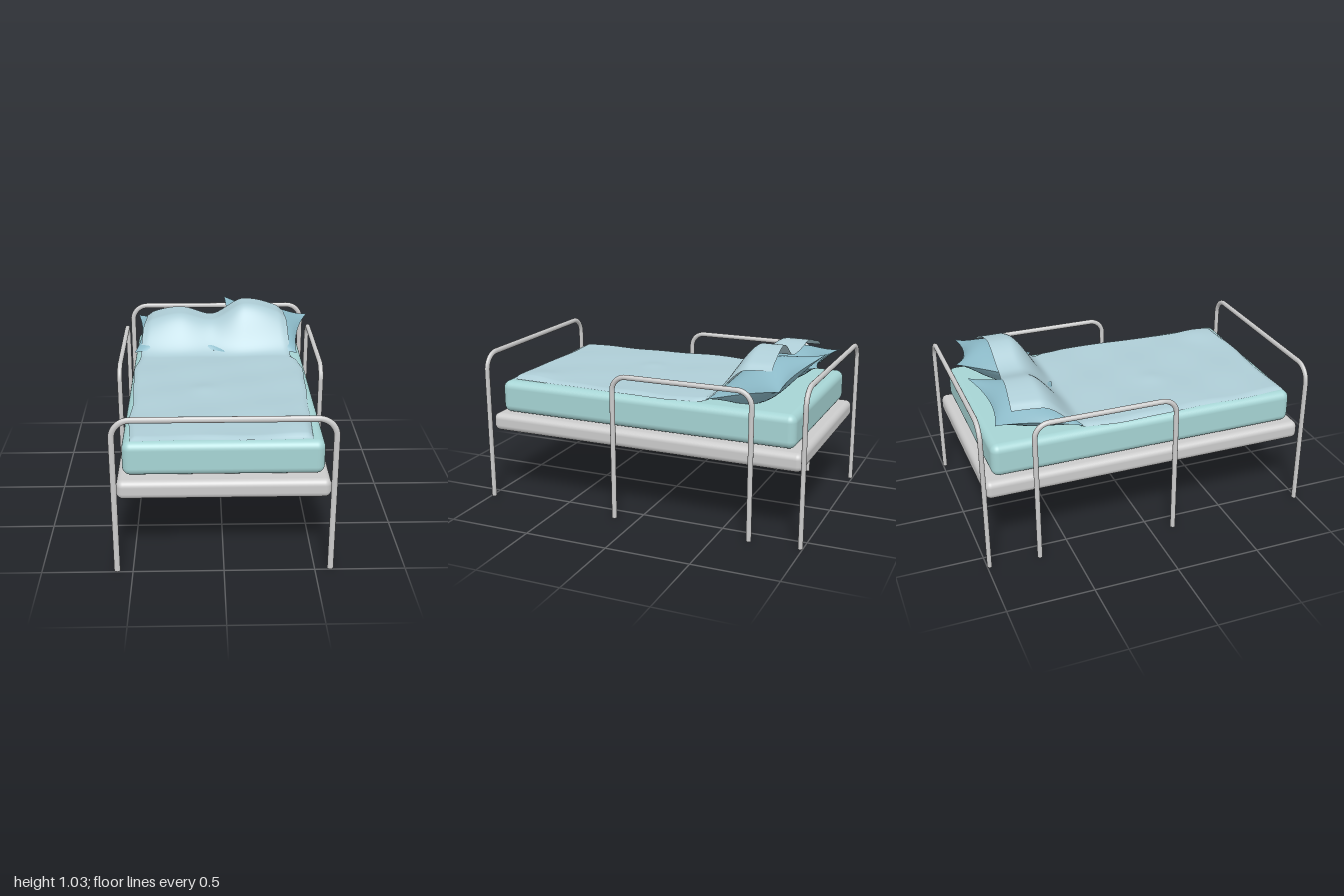
import * as THREE from 'three';
import { RoundedBoxGeometry } from 'three/addons/geometries/RoundedBoxGeometry.js';

const { lerp, smoothstep, clamp } = THREE.MathUtils;

const material = (color, side = THREE.FrontSide) => new THREE.MeshStandardMaterial({ color, side });

function addMesh(parent, name, geometry, mat) {
  const mesh = new THREE.Mesh(geometry, mat);
  mesh.name = name;
  parent.add(mesh);
  return mesh;
}

// Interpolates [key, value] pairs, linearly or eased between the keys
function follow(keys, x, eased = false) {
  let i = 0;
  while (i < keys.length - 2 && x > keys[i + 1][0]) i++;
  const [x0, y0] = keys[i], [x1, y1] = keys[i + 1];
  const t = clamp((x - x0) / (x1 - x0), 0, 1);
  return lerp(y0, y1, eased ? t * t * (3 - 2 * t) : t);
}

// Upside-down U of tube in the xy plane, standing on y = 0
function hoop(halfWidth, height, bend, radius) {
  const w = halfWidth, h = height, b = bend, V = (x, y) => new THREE.Vector3(x, y, 0);
  const k = 0.448 * b;
  const path = new THREE.CurvePath();
  path.add(new THREE.LineCurve3(V(-w, 0), V(-w, h - b)));
  path.add(new THREE.CubicBezierCurve3(V(-w, h - b), V(-w, h - k), V(-w + k, h), V(-w + b, h)));
  path.add(new THREE.LineCurve3(V(-w + b, h), V(w - b, h)));
  path.add(new THREE.CubicBezierCurve3(V(w - b, h), V(w - k, h), V(w, h - k), V(w, h - b)));
  path.add(new THREE.LineCurve3(V(w, h - b), V(w, 0)));
  return new THREE.TubeGeometry(path, 160, radius, 16);
}

// Cushion stretched between four corners: back left/right, front right/left in plan
function pillow(name, corners, thickness, mat) {
  const group = new THREE.Group();
  group.name = name;
  const [a, b, c, d] = corners.map((p) => new THREE.Vector3(...p));
  for (const face of [1, -1]) {
    const g = new THREE.PlaneGeometry(2, 2, 36, 36).rotateX(-face * Math.PI / 2);
    const pos = g.attributes.position;
    for (let i = 0; i < pos.count; i++) {
      const u0 = pos.getX(i), v0 = pos.getZ(i);
      // edges pinch inwards between the pointed corners
      const u = u0 * (1 - 0.12 * (1 - v0 * v0));
      const v = v0 * (1 - 0.2 * (1 - u0 * u0));
      const back = a.clone().lerp(b, (u + 1) / 2);
      const p = back.lerp(d.clone().lerp(c, (u + 1) / 2), (v + 1) / 2);
      const puff = Math.pow(Math.max(0, (1 - u0 * u0) * (1 - v0 * v0)), 0.8);
      pos.setXYZ(i, p.x, Math.max(p.y + face * thickness * puff, 0.73), p.z);
    }
    g.computeVertexNormals();
    addMesh(group, face > 0 ? 'pillowTop' : 'pillowUnderside', g, mat);
  }
  return group;
}

// Thin cover lying on the mattress and rising over the pillows
function blanketGeometry() {
  const leftEdge = [[-0.78, -0.475], [-0.4, -0.505], [-0.15, -0.535], [0.1, -0.525], [0.4, -0.51], [0.6, -0.52], [0.89, -0.5]];
  const rightEdge = [[-0.78, 0.44], [-0.4, 0.465], [-0.3, 0.505], [-0.15, 0.525], [0.1, 0.515], [0.5, 0.495], [0.89, 0.48]];
  const headEdge = [[-0.5, -0.78], [-0.2, -0.755], [0, -0.73], [0.2, -0.735], [0.45, -0.748]];
  const ridge = [[-0.7, 0.86], [-0.25, 0.967], [-0.05, 0.925], [0.18, 1.03], [0.75, 0.86]];
  const g = new THREE.PlaneGeometry(2, 2, 70, 120).rotateX(-Math.PI / 2);
  const pos = g.attributes.position;
  for (let i = 0; i < pos.count; i++) {
    const u = pos.getX(i), v = (pos.getZ(i) + 1) / 2;
    const z = lerp(follow(headEdge, u * 0.48, true), 0.885 + 0.006 * Math.sin(5 * u), v);
    const x = lerp(follow(leftEdge, z, true), follow(rightEdge, z, true), (u + 1) / 2);
    const rise = 1 - smoothstep(z, -0.61, -0.355);
    // soft wrinkles and a few broad bumps
    let y = 0.753 + 0.004 * Math.sin(9 * x + 5 * z) * Math.sin(11 * z - 4 * x);
    y += 0.016 * Math.exp(-((x - 0.4) ** 2 + (z - 0.72) ** 2) / 0.012);
    y += 0.008 * Math.exp(-((x + 0.1) ** 2 + (z - 0.2) ** 2) / 0.006);
    // hem turns down onto the mattress
    const hem = Math.max(smoothstep(Math.abs(u), 0.95, 1), smoothstep(v, 0.98, 1));
    y = lerp(y, 0.739, hem * (1 - rise));
    y = lerp(y, follow(ridge, x, true), rise);
    y -= 0.015 * rise * smoothstep(Math.abs(u), 0.9, 1);
    pos.setXYZ(i, x, y, z);
  }
  g.computeVertexNormals();
  return g;
}

export function createModel() {
  const bed = new THREE.Group();
  bed.name = 'bed';
  const grey = material(0xcccccc, THREE.DoubleSide);
  const mattressBlue = material(0xa6d4d4);
  const blanketBlue = material(0xaecdd6, THREE.DoubleSide);
  const pillowBlue = material(0x8cbac8, THREE.DoubleSide);

  // Base and mattress
  addMesh(bed, 'bedBase', new RoundedBoxGeometry(1.155, 0.108, 1.945, 5, 0.036), grey).position.y = 0.481;
  addMesh(bed, 'mattress', new RoundedBoxGeometry(1.09, 0.195, 1.84, 6, 0.045), mattressBlue).position.y = 0.638;

  // Head and foot rails with their legs
  for (const [name, z] of [['footRail', 0.986], ['headRail', -0.986]]) {
    const rail = addMesh(bed, name, hoop(0.587, 0.903, 0.1, 0.017), grey);
    rail.position.z = z;
    rail.scale.z = 0.82;
  }

  // Side guard rails
  for (const [name, x] of [['leftGuardRail', 0.603], ['rightGuardRail', -0.603]]) {
    const rail = addMesh(bed, name, hoop(0.417, 0.864, 0.085, 0.015), grey);
    rail.rotation.y = Math.PI / 2;
    rail.position.set(x, 0, -0.275);
  }

  // Pillows
  bed.add(pillow('rightPillow', [
    [-0.54, 0.865, -0.89], [0.045, 0.88, -0.9], [0.04, 0.77, -0.39], [-0.545, 0.77, -0.39],
  ], 0.105, pillowBlue));
  bed.add(pillow('leftPillow', [
    [0.05, 0.975, -0.96], [0.615, 0.88, -0.845], [0.51, 0.76, -0.385], [0.0, 0.775, -0.43],
  ], 0.12, pillowBlue));

  addMesh(bed, 'blanket', blanketGeometry(), blanketBlue);
  return bed;
}
